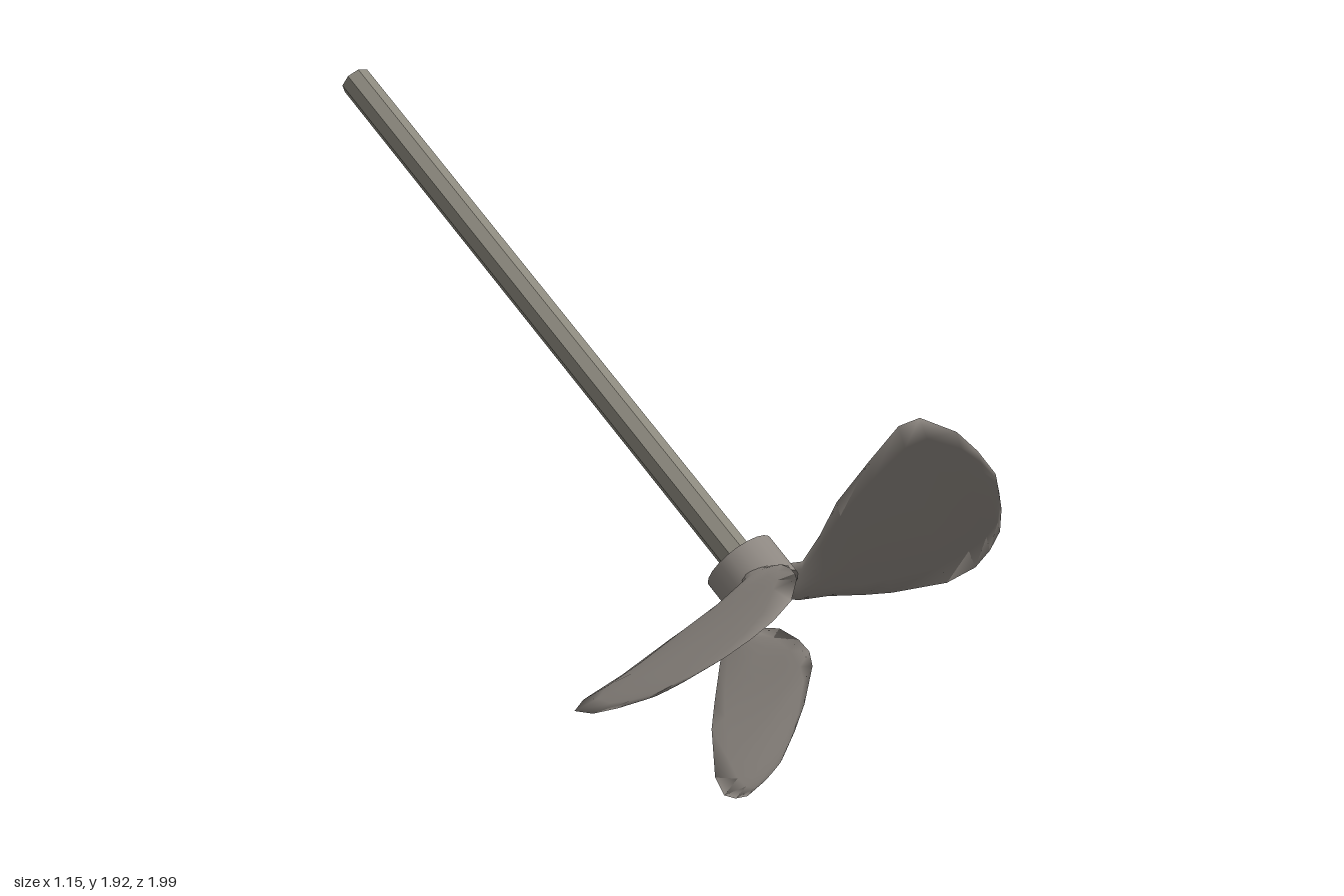
import * as THREE from 'three';

const V = (x, y, z) => new THREE.Vector3(x, y, z);

const bladeMetal = new THREE.MeshStandardMaterial({ color: 0x8d8781 });
bladeMetal.name = 'blade metal';
const shaftMetal = new THREE.MeshStandardMaterial({ color: 0x8b887d, flatShading: true });
shaftMetal.name = 'shaft metal';

// Cylinder running from one point to another
function rod(name, from, to, radius, sides, material) {
  const dir = to.clone().sub(from);
  const geo = new THREE.CylinderGeometry(radius, radius, dir.length(), sides);
  geo.rotateY(Math.PI / sides);
  const mesh = new THREE.Mesh(geo, material);
  mesh.name = name;
  mesh.position.copy(from).add(to).multiplyScalar(0.5);
  mesh.quaternion.setFromUnitVectors(V(0, 1, 0), dir.normalize());
  return mesh;
}

// Blade sections from root to tip: left edge, right edge, half thickness
const SECTIONS = [
  [[0.01, 0.58, 0.47], [0.08, 0.58, 0.42], 0.02],
  [[-0.028, 0.50, 0.455], [0.09, 0.505, 0.41], 0.016],
  [[-0.031, 0.42, 0.435], [0.196, 0.475, 0.395], 0.011],
  [[-0.035, 0.32, 0.422], [0.313, 0.45, 0.37], 0.009],
  [[-0.033, 0.25, 0.412], [0.45, 0.39, 0.335], 0.008],
  [[0.005, 0.11, 0.395], [0.555, 0.332, 0.296], 0.008],
  [[0.064, 0.046, 0.38], [0.583, 0.284, 0.287], 0.007],
  [[0.13, 0.02, 0.367], [0.54, 0.184, 0.292], 0.007],
  [[0.2, 0.008, 0.353], [0.48, 0.12, 0.303], 0.006],
  [[0.28, 0.02, 0.338], [0.405, 0.06, 0.317], 0.004],
  [[0.34, 0.038, 0.327], [0.342, 0.039, 0.326], 0.001],
];

// Loft thin lens-shaped loops through the sections
function bladeGeometry() {
  const cols = 8, ring = cols * 2;
  const pos = [], index = [];
  SECTIONS.forEach(([l, r, half], j) => {
    const L = V(...l), R = V(...r);
    const chord = R.clone().sub(L);
    const normal = V(-chord.z, 0, chord.x).normalize();
    for (let i = 0; i < ring; i++) {
      const s = i <= cols ? i / cols : 2 - i / cols;
      const side = i <= cols ? 1 : -1;
      const t = side * half * Math.sqrt(Math.max(0, 4 * s * (1 - s)));
      pos.push(...L.clone().lerp(R, s).addScaledVector(normal, t).toArray());
      if (j < SECTIONS.length - 1) {
        const a = j * ring + i, b = j * ring + (i + 1) % ring;
        index.push(a, a + ring, b + ring, a, b + ring, b);
      }
    }
  });
  const geo = new THREE.BufferGeometry();
  geo.setAttribute('position', new THREE.Float32BufferAttribute(pos, 3));
  geo.setIndex(index);
  geo.computeVertexNormals();
  return geo;
}

export function createModel() {
  const group = new THREE.Group();
  group.name = 'propeller';

  // Inclined drive shaft, its end just showing in the hub face
  group.add(rod('shaft', V(0.074, 0.594, 0.511), V(0.0625, 1.9, -0.968), 0.046, 8, shaftMetal));

  // Hub
  group.add(rod('hub', V(0.0725, 0.596, 0.506), V(0.0725, 0.675, 0.417), 0.101, 20, bladeMetal));

  // Three blades spaced evenly about the inclined axis
  const tilt = THREE.MathUtils.degToRad(38);
  const axis = V(0, -Math.sin(tilt), Math.cos(tilt));
  const centre = V(0.07, 0.63, 0.465);
  const geo = bladeGeometry().translate(-centre.x, -centre.y, -centre.z);
  for (let k = 0; k < 3; k++) {
    const blade = new THREE.Mesh(geo, bladeMetal);
    blade.name = 'blade' + (k + 1);
    blade.position.copy(centre);
    blade.quaternion.setFromAxisAngle(axis, k * Math.PI * 2 / 3);
    group.add(blade);
  }
  return group;
}
